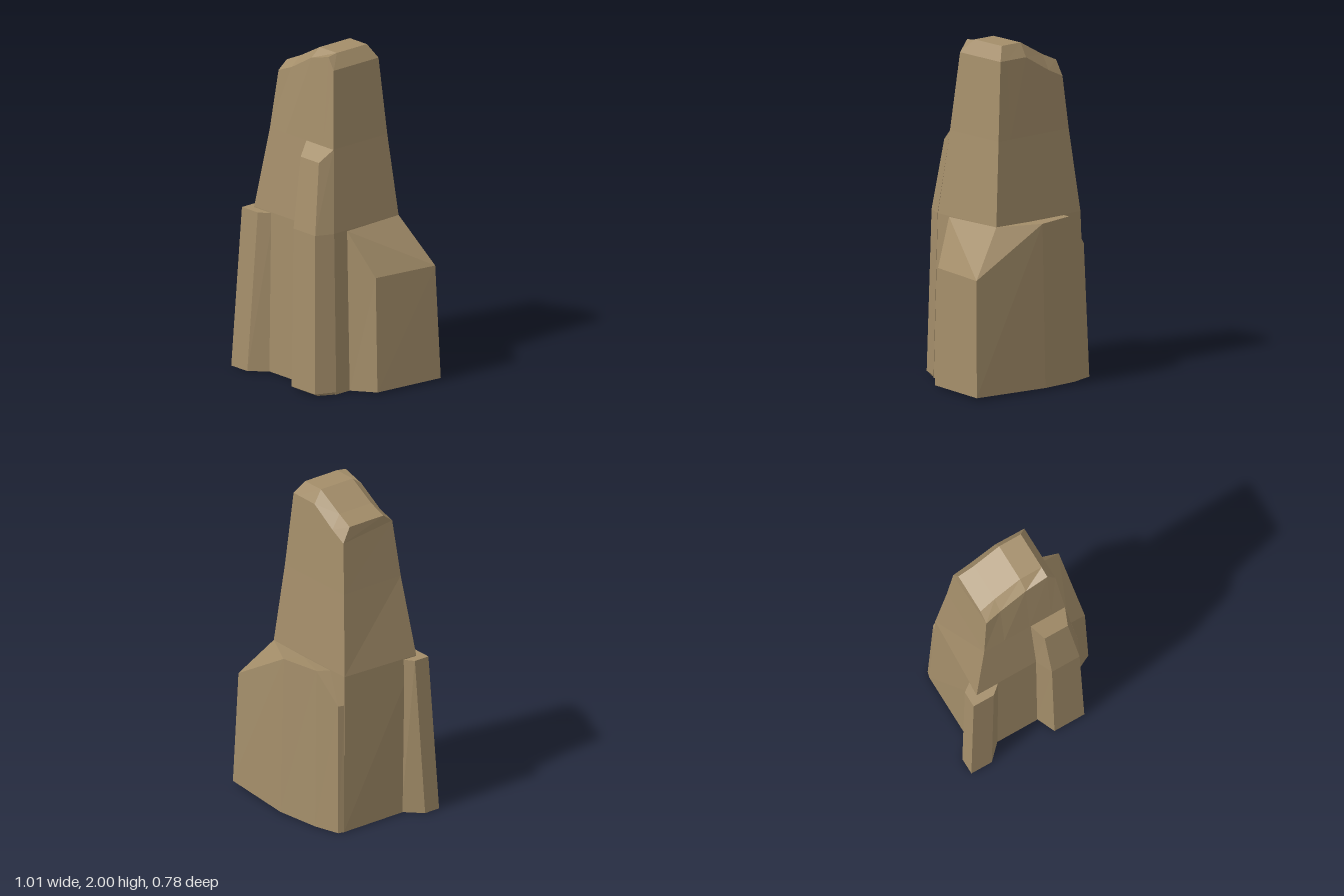
import * as THREE from 'three';

const rock = new THREE.MeshStandardMaterial({ color: 0xa48e6a, flatShading: true });

// Lofts rings of [x, y, z] points (front row left to right, then back row right to left).
// Caps are strips joining each front point to the back point opposite it.
function loft(name, rings) {
  const pos = [];
  const n = rings[0].length;
  const tri = (a, b, c) => pos.push(...a, ...b, ...c);
  for (let r = 0; r < rings.length - 1; r++) {
    const lo = rings[r], hi = rings[r + 1];
    for (let i = 0; i < n; i++) {
      const j = (i + 1) % n;
      tri(lo[i], lo[j], hi[j]);
      tri(lo[i], hi[j], hi[i]);
    }
  }
  const top = rings[rings.length - 1], base = rings[0];
  for (let i = 0; i < n / 2 - 1; i++) {
    const b = i + 1, c = n - 2 - i, d = n - 1 - i;
    tri(top[i], top[b], top[d]);
    tri(top[b], top[c], top[d]);
    tri(base[i], base[d], base[b]);
    tri(base[b], base[d], base[c]);
  }
  const geo = new THREE.BufferGeometry();
  geo.setAttribute('position', new THREE.Float32BufferAttribute(pos, 3));
  geo.computeVertexNormals();
  const mesh = new THREE.Mesh(geo, rock);
  mesh.name = name;
  return mesh;
}

const level = (y, pts) => pts.map(([x, z]) => [x, y, z]);

// Four-cornered tower section with extra points along its front and back
function towerRing(y, frontLeft, backLeft, right, front, back) {
  const mid = [-0.2, -0.03, 0.115];
  return level(y, [
    [frontLeft, front], ...mid.map(x => [x, front]), [right, front],
    [right, back], ...mid.slice().reverse().map(x => [x, back]), [backLeft, back],
  ]);
}

export function createModel() {
  const group = new THREE.Group();
  group.name = 'rockPillar';

  // Tapering tower with a sloping, bevelled summit
  const rightFront = [0.165, 1.92, 0.18], rightBack = [0.165, 1.92, -0.17];
  group.add(loft('mainTower', [
    towerRing(0, -0.415, -0.415, 0.285, 0.275, -0.265),
    towerRing(0.97, -0.415, -0.39, 0.26, 0.27, -0.24),
    towerRing(1.46, -0.335, -0.335, 0.207, 0.22, -0.2),
    [
      [-0.3, 1.81, 0.185], [-0.2, 1.85, 0.175], [-0.03, 1.95, 0.175], [0.115, 1.99, 0.175], rightFront,
      rightBack, [0.115, 1.92, -0.17], [-0.03, 1.92, -0.172], [-0.2, 1.82, -0.177], [-0.305, 1.77, -0.18],
    ],
    [
      [-0.3, 1.86, 0.12], [-0.2, 1.905, 0.11], [-0.03, 2, 0.11], [0.115, 2, 0.11], rightFront,
      rightBack, [0.115, 2, -0.125], [-0.03, 2, -0.125], [-0.2, 1.905, -0.125], [-0.3, 1.86, -0.13],
    ],
  ]));

  // Lower shoulder wrapping the back and the +x side
  group.add(loft('backShoulder', [
    [
      [-0.415, 0, -0.265], [-0.26, 0, -0.2], [-0.01, 0, -0.2], [0.2, 0, -0.2], [0.285, 0, 0.165],
      [0.44, 0.01, 0.09], [0.505, 0.015, -0.345], [0.015, 0.01, -0.39], [-0.25, 0, -0.345], [-0.405, 0, -0.3],
    ],
    [
      [-0.39, 0.79, -0.24], [-0.26, 0.965, -0.24], [-0.01, 0.965, -0.24], [0.26, 0.97, -0.24], [0.263, 0.965, 0.165],
      [0.42, 0.7, 0.085], [0.485, 0.7, -0.32], [0.015, 0.975, -0.365], [-0.23, 0.975, -0.32], [-0.38, 0.79, -0.28],
    ],
  ]));

  // Tall rib on the front
  group.add(loft('frontRib', [
    level(0, [[0.03, 0.365], [0.23, 0.365], [0.285, 0.265], [-0.015, 0.265]]),
    level(0.015, [[0.035, 0.39], [0.235, 0.39], [0.287, 0.272], [-0.015, 0.27]]),
    level(0.97, [[0.03, 0.37], [0.215, 0.37], [0.262, 0.265], [-0.02, 0.265]]),
    [[0.02, 1.39, 0.305], [0.175, 1.39, 0.305], [0.207, 1.46, 0.218], [-0.025, 1.46, 0.218]],
  ]));

  // Short rib on the front corner at -x
  group.add(loft('cornerRib', [
    level(0, [[-0.507, 0.262], [-0.507, 0.365], [-0.37, 0.365], [-0.275, 0.27], [-0.3, 0.2], [-0.41, 0.165]]),
    level(0.965, [[-0.465, 0.22], [-0.465, 0.32], [-0.33, 0.32], [-0.26, 0.26], [-0.3, 0.2], [-0.39, 0.165]]),
  ]));

  return group;
}
